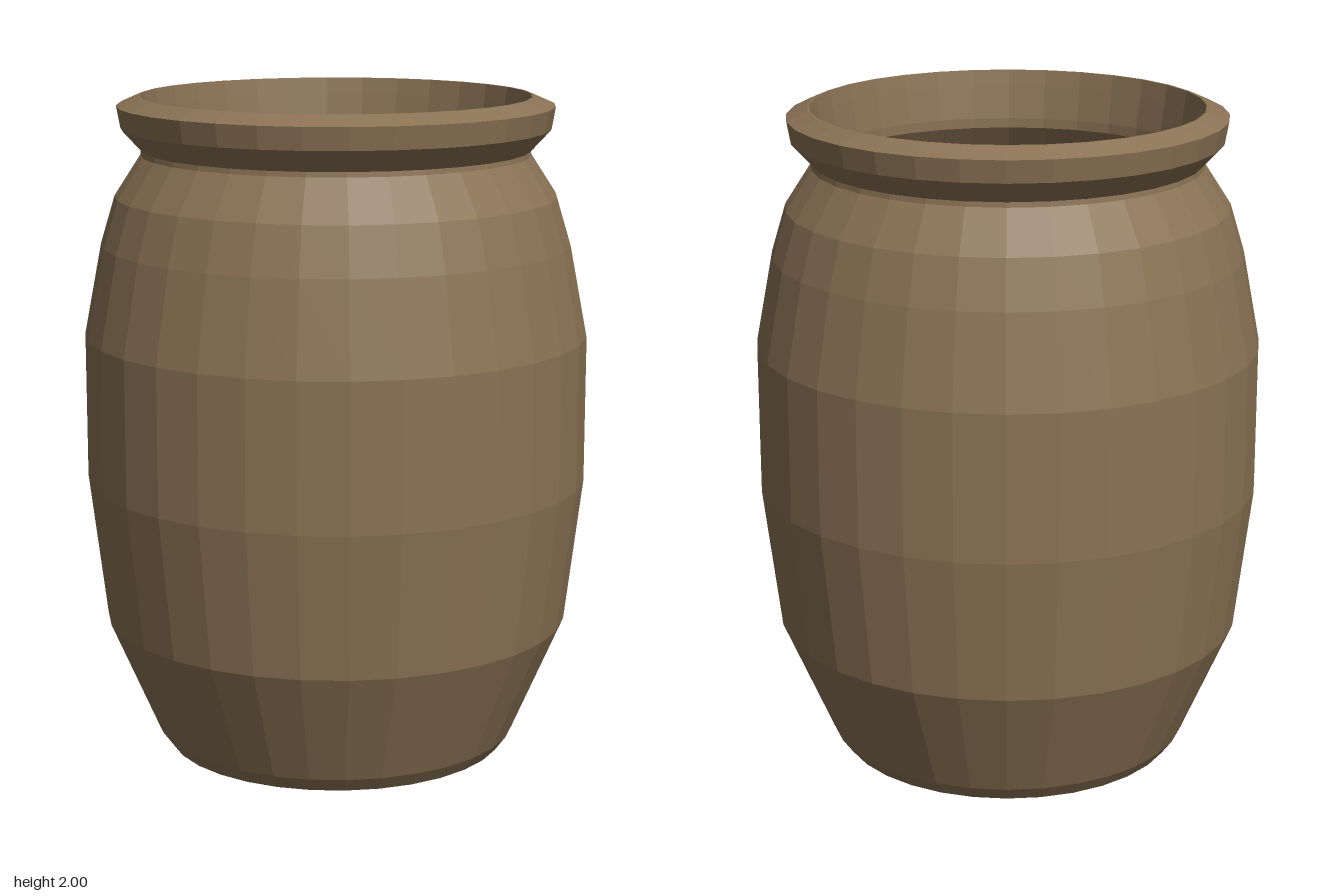
import * as THREE from 'three';

const SIDES = 32;
const clay = new THREE.MeshStandardMaterial({ color: 0x8b7355, flatShading: true });

// Revolve a list of [radius, height] pairs around the y axis
function turned(name, profile) {
  const points = profile.map(([r, y]) => new THREE.Vector2(r, y));
  const mesh = new THREE.Mesh(new THREE.LatheGeometry(points, SIDES), clay);
  mesh.name = name;
  return mesh;
}

export function createModel() {
  const jar = new THREE.Group();
  jar.name = 'jar';

  // Body, from the foot up to the neck
  const body = [
    [0.52, 0], [0.553, 0.045], [0.707, 0.403], [0.76, 0.843], [0.76, 1.284],
    [0.707, 1.56], [0.664, 1.703], [0.585, 1.825], [0.583, 1.84],
  ];
  jar.add(turned('outerWall', body));

  // Flared lip: outside up, over the sloped top and down into the mouth
  jar.add(turned('rim', [
    [0.583, 1.84], [0.643, 1.905], [0.655, 1.972], [0.592, 2],
    [0.585, 2], [0.577, 1.95], [0.562, 1.85],
  ]));

  // Hollow inside, following the body at the thickness of the wall
  const inside = [
    [0.562, 1.85], [0.562, 1.82], [0.644, 1.693], [0.687, 1.555], [0.74, 1.28],
    [0.74, 0.845], [0.687, 0.41], [0.535, 0.06], [0.507, 0.02],
  ];
  jar.add(turned('innerWall', inside));

  // Underside and inner floor
  const disc = (name, radius, y, tilt) => {
    const mesh = new THREE.Mesh(new THREE.CircleGeometry(radius, SIDES), clay);
    mesh.name = name;
    mesh.rotation.x = tilt;
    mesh.position.y = y;
    jar.add(mesh);
  };
  disc('base', 0.52, 0, Math.PI / 2);
  disc('innerFloor', 0.507, 0.02, -Math.PI / 2);

  return jar;
}
